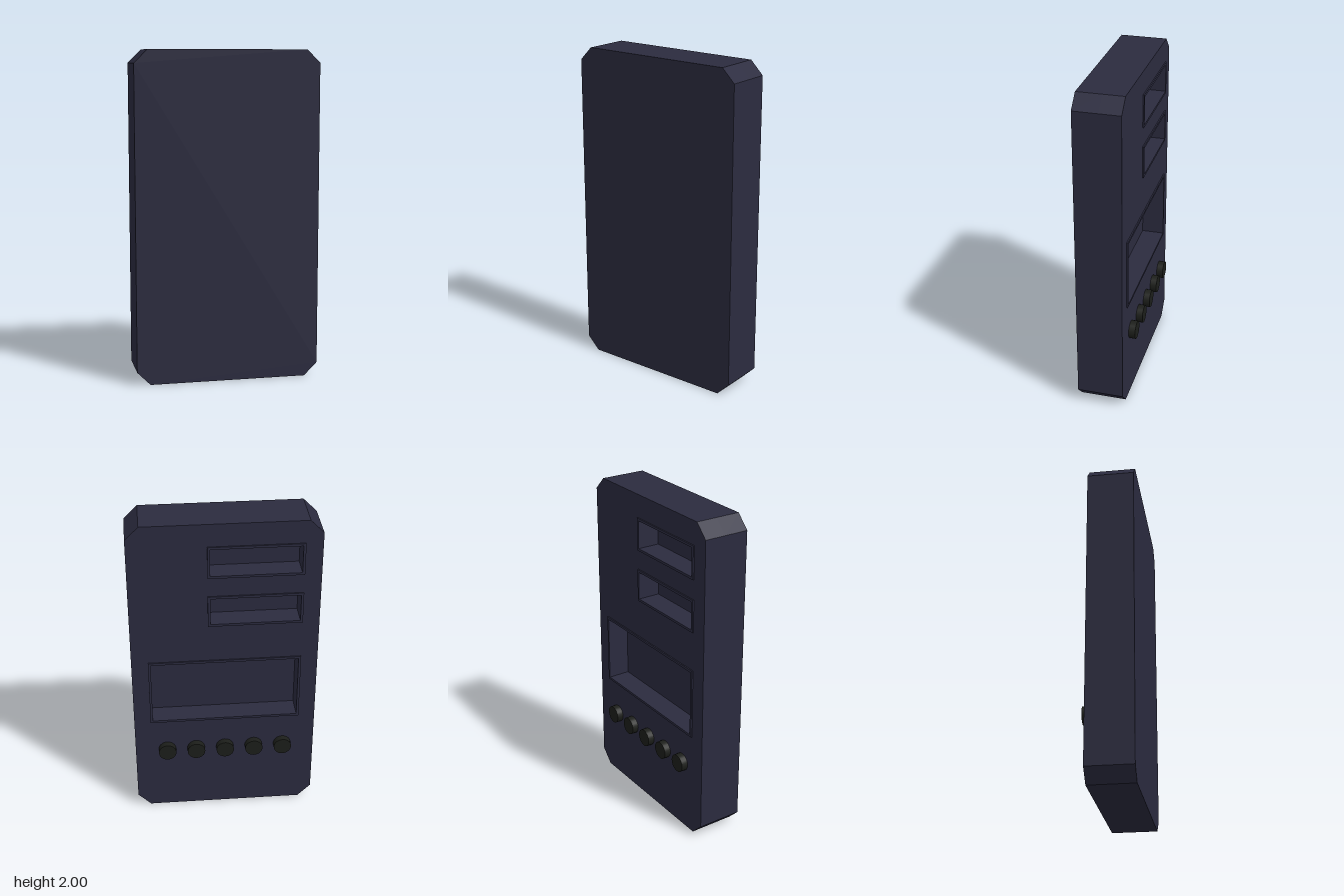
import * as THREE from 'three';

const BACK = -0.12, FRONT = 0.16, FLOOR = 0.01, RIM = 0.015;

// Recessed bays on the back: x0, x1, y0, y1 of the outer rim
const BAYS = [
  { name: 'upperSlot', r: [-0.46, 0.10, 1.66, 1.86] },
  { name: 'lowerSlot', r: [-0.46, 0.10, 1.34, 1.54] },
  { name: 'displayBay', r: [-0.46, 0.46, 0.66, 1.10] },
];

function outline() {
  const w = 0.56, h = 2, c = 0.08;
  return new THREE.Shape([
    [-w + c, 0], [w - c, 0], [w, c], [w, h - c], [w - c, h], [-w + c, h], [-w, h - c], [-w, c],
  ].map(([x, y]) => new THREE.Vector2(x, y)));
}

function rect([x0, x1, y0, y1], inset, Type) {
  return new Type([
    new THREE.Vector2(x0 + inset, y0 + inset), new THREE.Vector2(x1 - inset, y0 + inset),
    new THREE.Vector2(x1 - inset, y1 - inset), new THREE.Vector2(x0 + inset, y1 - inset),
  ]);
}

function slab(name, shape, z0, z1, material) {
  const geo = new THREE.ExtrudeGeometry(shape, { depth: z1 - z0, bevelEnabled: false });
  geo.translate(0, 0, z0);
  const mesh = new THREE.Mesh(geo, material);
  mesh.name = name;
  return mesh;
}

export function createModel() {
  const group = new THREE.Group();
  group.name = 'handheldUnit';
  const casing = new THREE.MeshStandardMaterial({ color: 0x2b2b3f });
  casing.name = 'dark indigo casing';
  const rubber = new THREE.MeshStandardMaterial({ color: 0x1c1e1a });
  rubber.name = 'black rubber';

  // Solid front half, and back half cut through by the bays
  group.add(slab('frontShell', outline(), FLOOR, FRONT, casing));
  const cut = outline();
  for (const bay of BAYS) cut.holes.push(rect(bay.r, RIM, THREE.Path));
  group.add(slab('backShell', cut, BACK, FLOOR, casing));

  // Thin raised rim round each bay
  for (const bay of BAYS) {
    const rim = rect(bay.r, 0, THREE.Shape);
    rim.holes.push(rect(bay.r, RIM, THREE.Path));
    group.add(slab(bay.name + 'Rim', rim, BACK - 0.008, BACK, casing));
  }

  // Row of round push buttons
  const buttonGeo = new THREE.CylinderGeometry(0.055, 0.055, 0.05, 20);
  buttonGeo.rotateX(-Math.PI / 2);
  for (let i = 0; i < 5; i++) {
    const button = new THREE.Mesh(buttonGeo, rubber);
    button.name = 'button' + (i + 1);
    button.position.set((i - 2) * 0.181, 0.445, -0.135);
    group.add(button);
  }
  return group;
}
